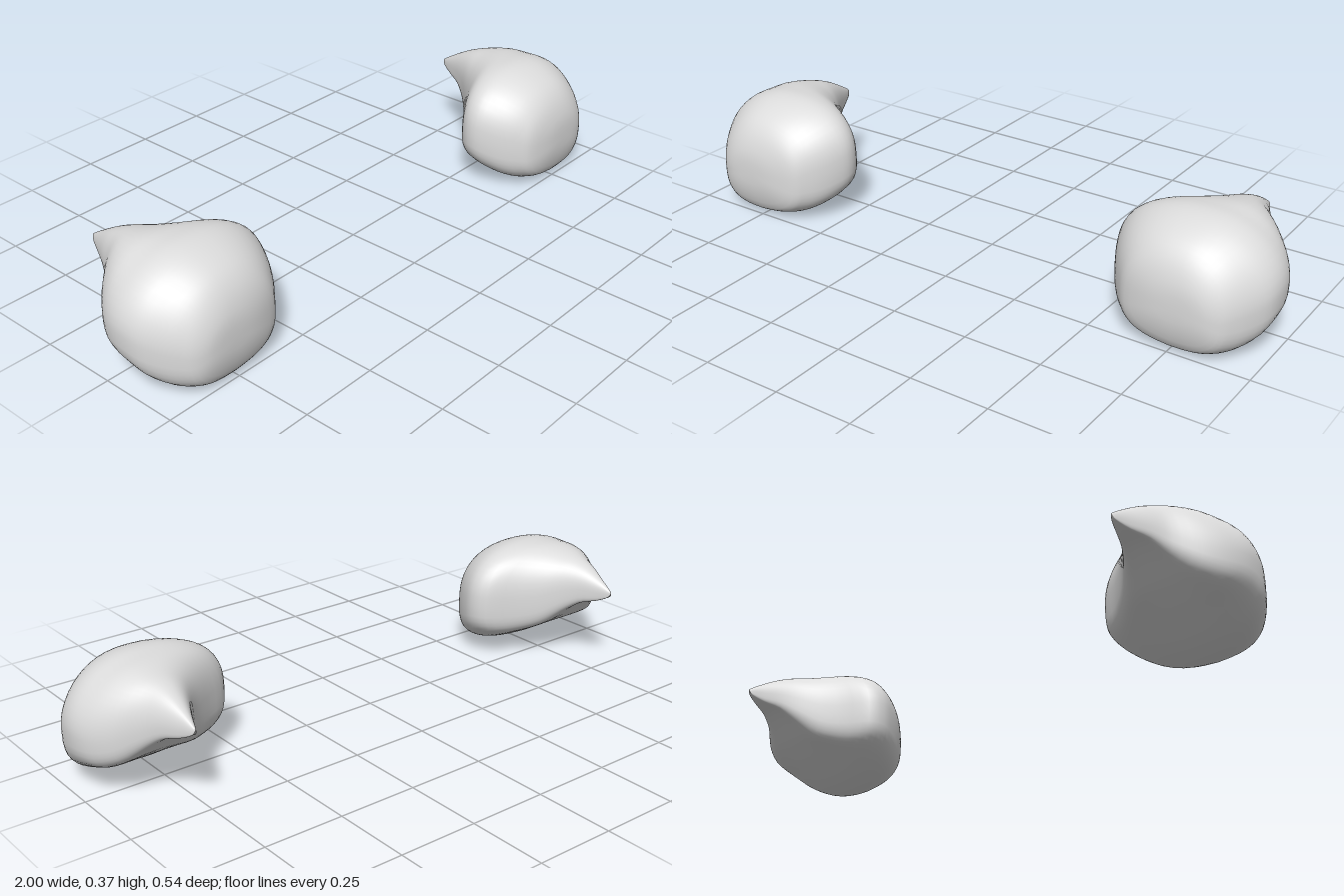
import * as THREE from 'three';
import { mergeVertices } from 'three/addons/utils/BufferGeometryUtils.js';

// Cross-sections from the blunt front to the pointed back: z, inner x, outer x, bottom y, top y
const SECTIONS = [
  [0.271, 0.77, 0.77, 0.15, 0.15],
  [0.268, 0.69, 0.85, 0.09, 0.21],
  [0.25, 0.612, 0.9, 0.028, 0.268],
  [0.22, 0.575, 0.932, 0.007, 0.313],
  [0.18, 0.542, 0.962, 0.001, 0.343],
  [0.13, 0.514, 0.99, 0.011, 0.365],
  [0.08, 0.5, 1.0, 0.03, 0.375],
  [0.03, 0.52, 0.997, 0.047, 0.373],
  [-0.02, 0.595, 0.978, 0.063, 0.368],
  [-0.07, 0.66, 0.94, 0.094, 0.358],
  [-0.12, 0.712, 0.885, 0.15, 0.345],
  [-0.17, 0.748, 0.852, 0.195, 0.324],
  [-0.22, 0.774, 0.826, 0.217, 0.296],
  [-0.26, 0.792, 0.808, 0.242, 0.271],
  [-0.27, 0.8, 0.8, 0.262, 0.262],
];

const SIDES = 48;
const STEPS = 3; // rings per section

// Smooth curve through one column of the sections
function column(k, t) {
  const last = SECTIONS.length - 1;
  const i = Math.min(Math.floor(t), last - 1);
  const f = t - i;
  const p = (n) => SECTIONS[Math.max(0, Math.min(last, n))][k];
  const m0 = (p(i + 1) - p(i - 1)) / 2;
  const m1 = (p(i + 2) - p(i)) / 2;
  const f2 = f * f, f3 = f2 * f;
  return (2 * f3 - 3 * f2 + 1) * p(i) + (f3 - 2 * f2 + f) * m0
    + (3 * f2 - 2 * f3) * p(i + 1) + (f3 - f2) * m1;
}

// Rounded teardrop body; side is 1 for the left one and -1 for its mirror image
function dropGeometry(side) {
  const rings = (SECTIONS.length - 1) * STEPS;
  const pos = [], index = [];
  for (let r = 0; r <= rings; r++) {
    const [z, x0, x1, y0, y1] = [0, 1, 2, 3, 4].map((k) => column(k, r / STEPS));
    const cx = (x0 + x1) / 2, w = (x1 - x0) / 2, h = y1 - y0;
    // The back has a lower widest line and a slightly hollow underside
    const back = THREE.MathUtils.smoothstep(-z, -0.1, 0.08);
    const mid = y0 + h * (0.45 - 0.08 * back);
    for (let j = 0; j < SIDES; j++) {
      const a = (j / SIDES) * Math.PI * 2;
      const c = Math.cos(a), s = Math.sin(a);
      // Round above, squarer below
      const power = s > 0 ? 0.9 + 0.1 * c : 0.66;
      const u = Math.sign(c) * Math.abs(c) ** power;
      const v = Math.sign(s) * Math.abs(s) ** power;
      let y = v > 0 ? mid + v * (y1 - mid) : mid + v * (mid - y0);
      if (v < 0) {
        y += -v * h * 0.13 * back * (1 - u * u);
        y += -v * h * 0.05 * (1 - back) * Math.max(0, -u);
      }
      pos.push(side * (cx + u * w), y, z);
      if (r < rings) {
        const k = (j + 1) % SIDES;
        const p = r * SIDES + j, q = r * SIDES + k;
        const pn = p + SIDES, qn = q + SIDES;
        if (side > 0) index.push(p, pn, q, q, pn, qn);
        else index.push(p, q, pn, q, qn, pn);
      }
    }
  }
  const geometry = new THREE.BufferGeometry();
  geometry.setAttribute('position', new THREE.Float32BufferAttribute(pos, 3));
  geometry.setIndex(index);
  const welded = mergeVertices(geometry, 1e-5); // closes both end points
  welded.computeVertexNormals();
  return welded;
}

export function createModel() {
  const model = new THREE.Group();
  model.name = 'teardropPair';
  const grey = new THREE.MeshStandardMaterial({ color: 0xdcdcdc });
  grey.name = 'light grey';

  for (const [name, side] of [['leftDrop', 1], ['rightDrop', -1]]) {
    const drop = new THREE.Mesh(dropGeometry(side), grey);
    drop.name = name;
    model.add(drop);
  }
  return model;
}
